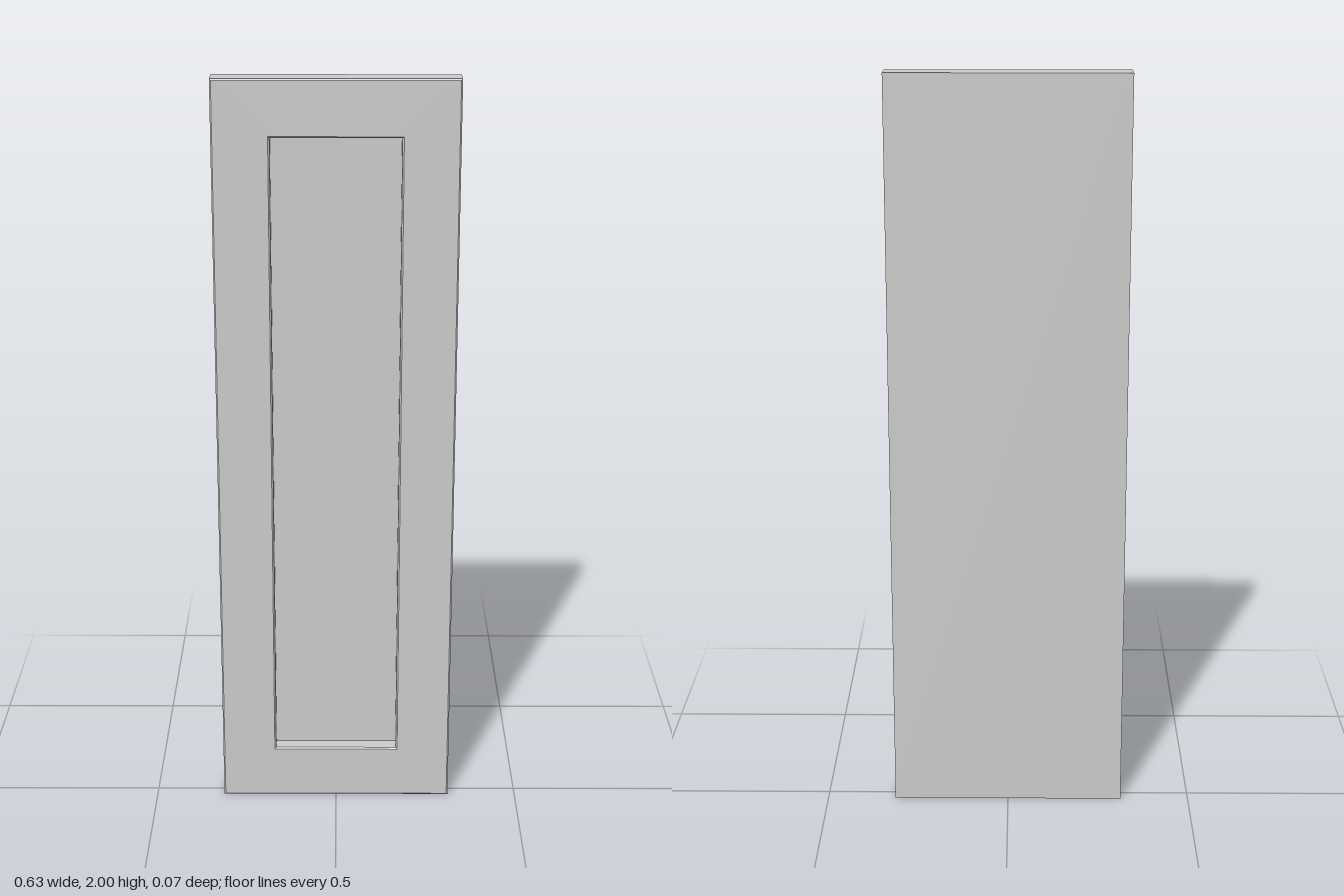
import * as THREE from 'three';

const W = 0.313, H = 2, T = 0.035;        // half width, height, half thickness
const RAIL = 0.147, DEPTH = 0.042, C = 0.004; // frame width, recess depth, chamfer

// Rectangle inset from the door outline, counter-clockwise seen from the front
const ring = (inset, z) => [
  [-W + inset, inset, z], [W - inset, inset, z],
  [W - inset, H - inset, z], [-W + inset, H - inset, z],
];

// Flat-sided skin joining successive rings
function loft(rings) {
  const pos = [];
  for (let r = 0; r < rings.length - 1; r++) {
    const a = rings[r], b = rings[r + 1];
    for (let i = 0; i < 4; i++) {
      const j = (i + 1) % 4;
      pos.push(...a[i], ...a[j], ...b[j], ...a[i], ...b[j], ...b[i]);
    }
  }
  const geo = new THREE.BufferGeometry();
  geo.setAttribute('position', new THREE.Float32BufferAttribute(pos, 3));
  geo.computeVertexNormals();
  return geo;
}

export function createModel() {
  const group = new THREE.Group();
  group.name = 'cabinetDoor';
  const material = new THREE.MeshStandardMaterial({ color: 0xcccccc, flatShading: true });
  const add = (name, geometry) => {
    const mesh = new THREE.Mesh(geometry, material);
    mesh.name = name;
    group.add(mesh);
    return mesh;
  };

  // Frame: outer sides, chamfered front edge, face, chamfered opening, recess walls
  add('frame', loft([
    ring(0, -T),
    ring(0, T - C),
    ring(C, T),
    ring(RAIL - C, T),
    ring(RAIL, T - C),
    ring(RAIL, T - DEPTH),
  ]));

  // Recessed centre panel
  const panel = add('recessedPanel', new THREE.PlaneGeometry(2 * (W - RAIL), H - 2 * RAIL));
  panel.position.set(0, H / 2, T - DEPTH);

  // Plain back
  const back = add('backFace', new THREE.PlaneGeometry(2 * W, H));
  back.position.set(0, H / 2, -T);
  back.rotation.y = Math.PI;

  return group;
}
